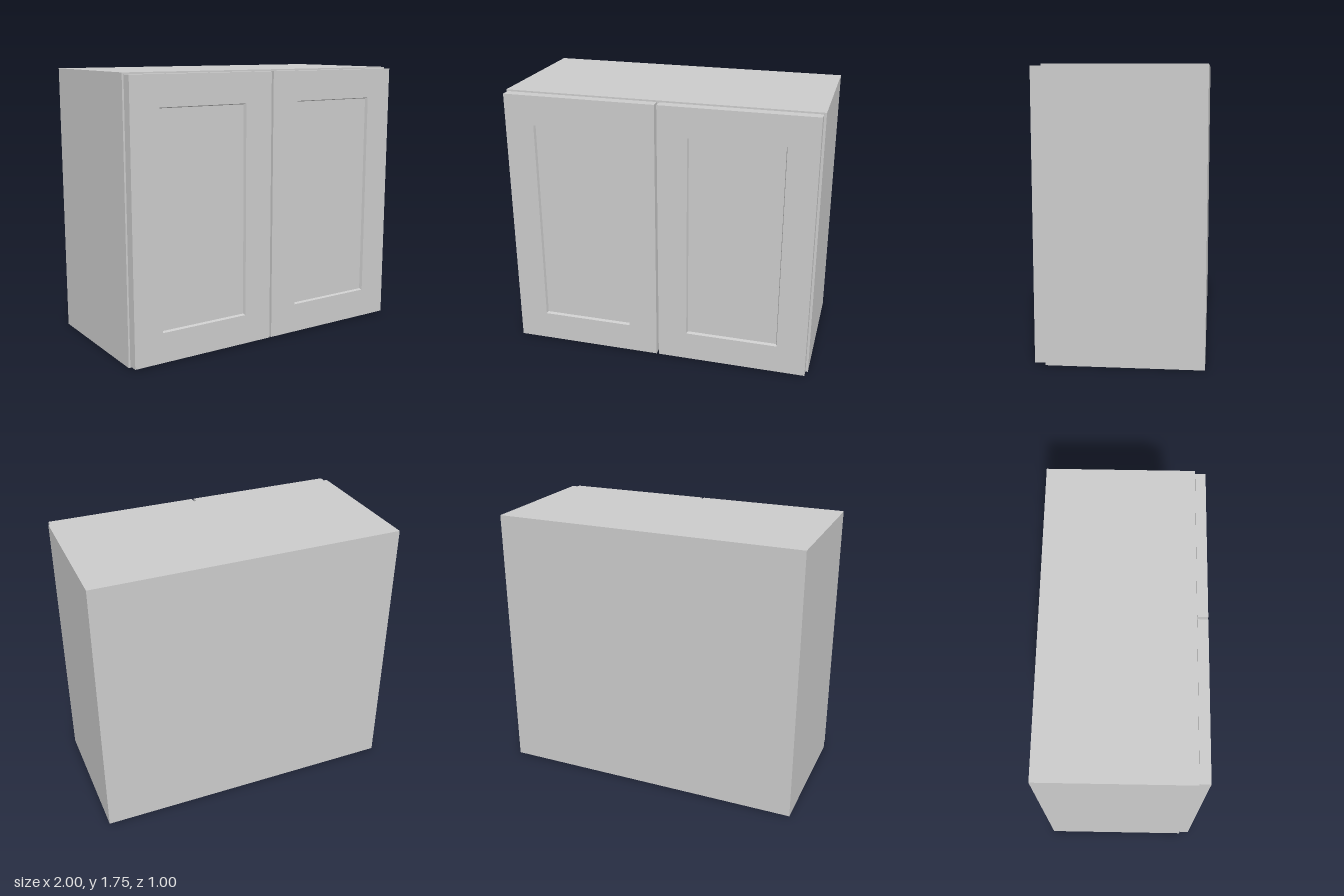
import * as THREE from 'three';

const material = new THREE.MeshStandardMaterial({ color: 0xcccccc, flatShading: true });

// Board spanning the given limits on each axis
function board(name, [x0, x1], [y0, y1], [z0, z1]) {
  const mesh = new THREE.Mesh(new THREE.BoxGeometry(x1 - x0, y1 - y0, z1 - z0), material);
  mesh.position.set((x0 + x1) / 2, (y0 + y1) / 2, (z0 + z1) / 2);
  mesh.name = name;
  return mesh;
}

// Closed rectangular outline centred on the origin
function rectangle(target, w, h) {
  return target.moveTo(-w / 2, -h / 2).lineTo(w / 2, -h / 2)
    .lineTo(w / 2, h / 2).lineTo(-w / 2, h / 2).closePath();
}

// Framed door with a recessed centre panel, origin at the middle of its back
function createDoor(name) {
  const width = 0.98, height = 1.73, depth = 0.065;
  const openW = 0.6, openH = 1.35, recess = 0.02, slope = 0.006;
  const door = new THREE.Group();
  door.name = name;

  const shape = rectangle(new THREE.Shape(), width, height);
  shape.holes.push(rectangle(new THREE.Path(), openW, openH));
  const geometry = new THREE.ExtrudeGeometry(shape, { depth, bevelEnabled: false });

  // Narrow the back of the opening so its inner edges slope slightly
  const p = geometry.attributes.position;
  const taper = slope * depth / recess;
  for (let i = 0; i < p.count; i++) {
    if (p.getZ(i) < depth / 2 && Math.abs(p.getX(i)) < openW / 2 + 0.01) {
      p.setX(i, p.getX(i) - Math.sign(p.getX(i)) * taper);
      p.setY(i, p.getY(i) - Math.sign(p.getY(i)) * taper);
    }
  }
  geometry.computeVertexNormals();
  const frame = new THREE.Mesh(geometry, material);
  frame.name = 'doorFrame';

  const w = openW / 2 - slope, h = openH / 2 - slope;
  door.add(frame, board('doorPanel', [-w, w], [-h, h], [0.001, depth - recess]));
  return door;
}

export function createModel() {
  const cabinet = new THREE.Group();
  cabinet.name = 'wallCabinet';
  const height = 1.75, t = 0.06, inner = 1 - t, back = -0.5, front = 0.433;

  // Carcass
  cabinet.add(
    board('leftSide', [inner, 1], [0, height], [back, front]),
    board('rightSide', [-1, -inner], [0, height], [back, front]),
    board('bottomBoard', [-inner, inner], [0, t], [back, front]),
    board('topBoard', [-inner, inner], [height - t, height], [back, front]),
    board('backPanel', [-inner, inner], [t, height - t], [back, back + 0.03]),
    board('shelf', [-inner, inner], [0.85, 0.91], [back + 0.03, front]),
  );

  // Pair of doors
  for (const side of [1, -1]) {
    const door = createDoor(side > 0 ? 'leftDoor' : 'rightDoor');
    door.position.set(side * 0.4975 - 0.0025, height / 2, 0.435);
    cabinet.add(door);
  }
  return cabinet;
}
